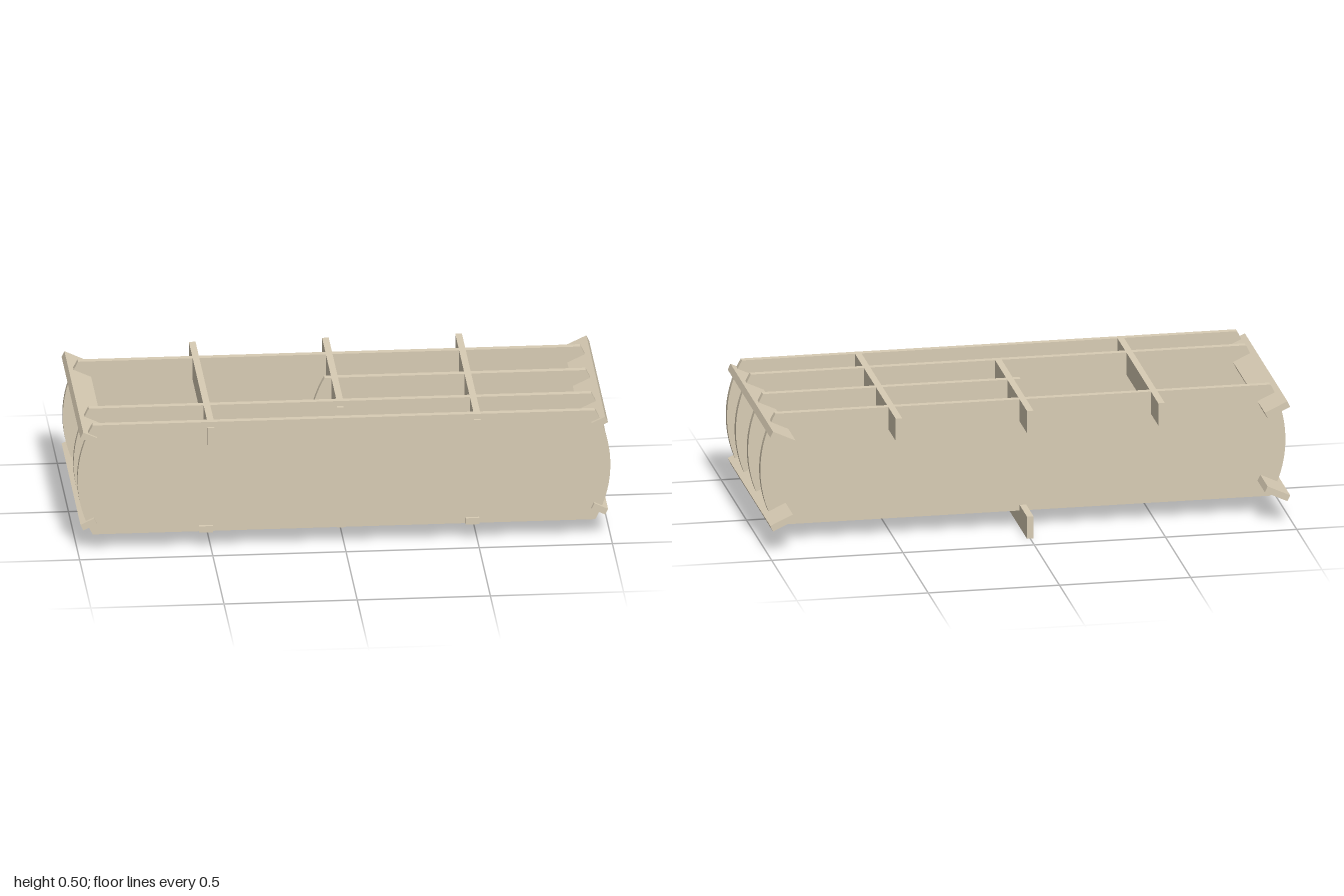
import * as THREE from 'three';
import { toCreasedNormals } from 'three/addons/utils/BufferGeometryUtils.js';

const T = 0.025;                          // sheet thickness
const BOTTOM = 0.065, TOP = 0.502, MID = (BOTTOM + TOP) / 2;
const BACK = -0.422, FRONT = 0.422;
const FULL = [-0.264, 0.222, 0.397];      // z of the full-length ribs
const HALF = -0.02;                       // z of the short rib
const ALL = [FULL[0], HALF, FULL[1], FULL[2]];

const material = new THREE.MeshStandardMaterial({ color: 0xd8ccb4 });

export function createModel() {
  const model = new THREE.Group();

  const add = (name, geometry) => {
    const mesh = new THREE.Mesh(geometry, material);
    mesh.name = name;
    model.add(mesh);
    return mesh;
  };

  // Upright rib with flat top and bottom and bowed ends
  function rib(name, x0, x1, z) {
    const half = (TOP - BOTTOM) / 2, bow = 0.057;
    const r = (half * half + bow * bow) / (2 * bow);
    const a = Math.asin(half / r);
    const shape = new THREE.Shape();
    shape.absarc(x1 - r, MID, r, -a, a, false);
    shape.absarc(x0 + r, MID, r, Math.PI - a, Math.PI + a, false);
    shape.closePath();
    const geo = new THREE.ExtrudeGeometry(shape, { depth: T, bevelEnabled: false, curveSegments: 24 });
    geo.translate(0, 0, z - T / 2);
    add(name, toCreasedNormals(geo, 0.5));
  }

  // Notched board running along z. It starts at (x, y), grows by `width` in the
  // direction `angle`, and is cut `cut` deep on its far edge at each given rib.
  function board(name, { x, y, angle, width, cut, z0, z1, ribs }) {
    const shape = new THREE.Shape();
    shape.moveTo(z1, 0);
    shape.lineTo(z0, 0);
    const low = width - cut;
    // walk the far edge from back to front; notches near an end run off it
    let z = z0, open = true;
    for (const r of ribs) {
      const a = r - T / 2, b = r + T / 2;
      if (a - z0 < 0.03) shape.lineTo(z0, low);
      else {
        if (open) shape.lineTo(z, width);
        shape.lineTo(a, width);
        shape.lineTo(a, low);
      }
      open = z1 - b > 0.03;
      z = b;
      shape.lineTo(open ? b : z1, low);
    }
    if (open) {
      shape.lineTo(z, width);
      shape.lineTo(z1, width);
    }
    shape.closePath();
    const geo = new THREE.ExtrudeGeometry(shape, { depth: T, bevelEnabled: false });
    geo.translate(0, 0, -T / 2);
    const along = new THREE.Vector3(0, 0, 1);
    const across = new THREE.Vector3(Math.cos(angle), Math.sin(angle), 0);
    const basis = new THREE.Matrix4().makeBasis(along, across, along.clone().cross(across));
    geo.applyMatrix4(basis.setPosition(x, y, 0));
    add(name, geo);
  }

  // Ribs
  FULL.forEach((z, i) => rib(['backRib', 'innerRib', 'frontRib'][i], -1, 1, z));
  rib('shortRib', -0.095, 1, HALF);

  // Upright cross boards under the top edge, and the keel below
  const up = Math.PI / 2;
  const beam = { angle: up, width: 0.087, cut: 0.02, z0: BACK };
  board('rightTopBeam', { ...beam, x: -0.5, y: 0.415, z1: FRONT, ribs: FULL });
  board('leftTopBeam', { ...beam, x: 0.5, y: 0.415, z1: FRONT, ribs: ALL });
  board('centreTopBeam', { ...beam, x: 0, y: 0.415, z1: 0.25, ribs: ALL.slice(0, 3) });
  board('keel', { ...beam, x: 0, y: 0, z1: 0.25, ribs: ALL.slice(0, 3) });

  // Tilted stringers at the four corners, slotted from the inner edge
  for (const side of [1, -1]) {
    for (const v of [1, -1]) {
      const tilt = 25 * Math.PI / 180;
      const inward = Math.atan2(-v * Math.sin(tilt), -side * Math.cos(tilt));
      board((side > 0 ? 'left' : 'right') + (v > 0 ? 'Top' : 'Bottom') + 'Stringer', {
        x: side * 0.985, y: MID + v * 0.185, angle: inward, width: 0.095, cut: 0.038,
        z0: BACK, z1: FRONT, ribs: side > 0 ? ALL : FULL,
      });
    }
  }

  // Flat bottom ties between the two front ribs
  for (const [name, x] of [['rightBottomTie', -0.545], ['leftBottomTie', 0.455]]) {
    board(name, {
      x, y: BOTTOM + T / 2 - 0.001, angle: 0, width: 0.087, cut: 0.035,
      z0: 0.197, z1: FRONT, ribs: FULL.slice(1),
    });
  }

  return model;
}
